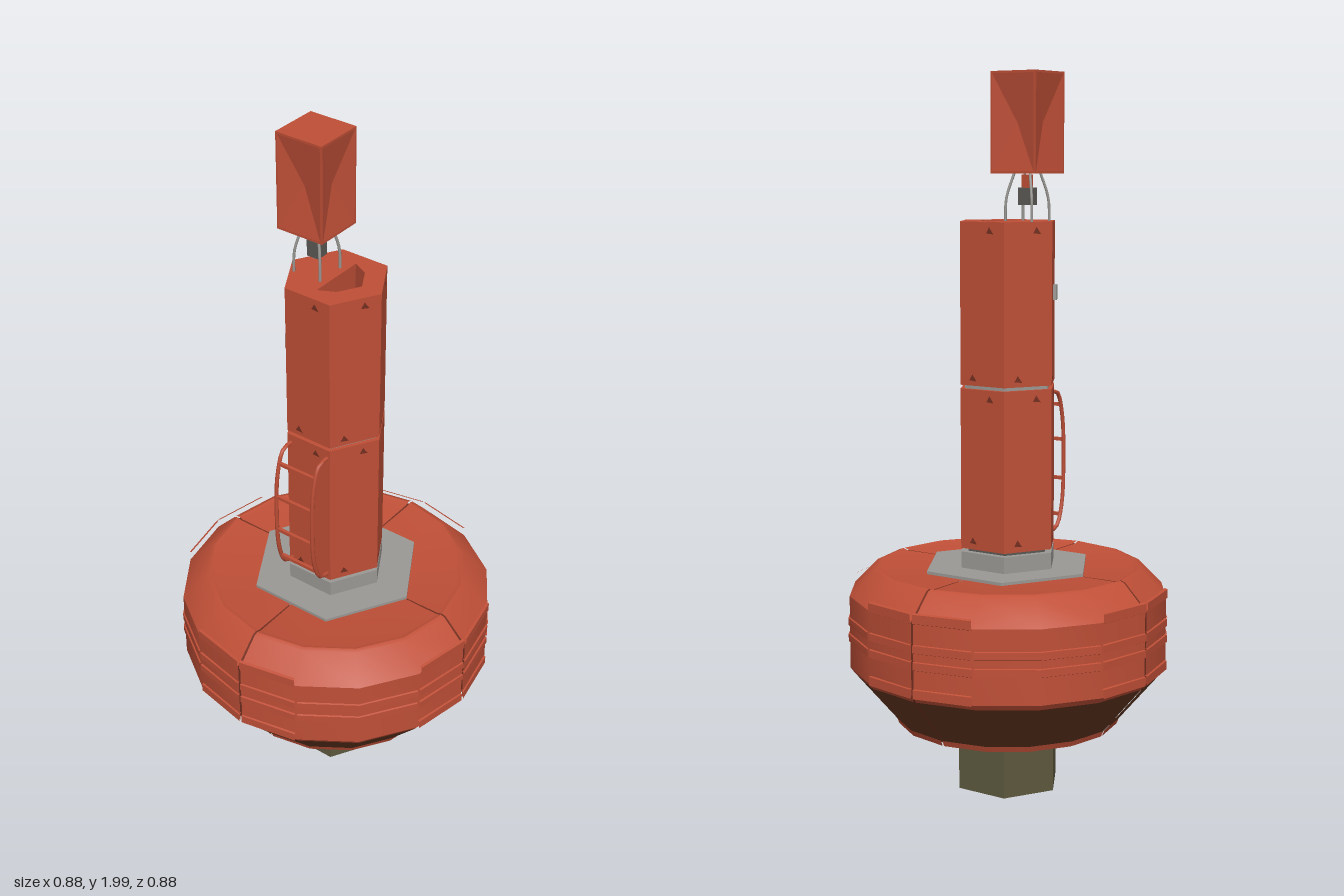
import * as THREE from 'three';
import { toCreasedNormals } from 'three/addons/utils/BufferGeometryUtils.js';

const V = (x, y, z) => new THREE.Vector3(x, y, z);
const mat = (name, color) => {
  const m = new THREE.MeshStandardMaterial({ color });
  m.name = name;
  return m;
};

export function createModel() {
  const red = mat('buoy red', 0xbf4f37);
  const darkRed = mat('recess red', 0x742f20);
  const brown = mat('waterline brown', 0x663820);
  const olive = mat('ballast olive', 0x5c583d);
  const grey = mat('steel grey', 0x9b9995);
  const darkGrey = mat('dark steel', 0x5b5955);

  const root = new THREE.Group();
  root.name = 'buoy';
  const add = (name, geo, m, parent = root) => {
    const mesh = new THREE.Mesh(geo, m);
    mesh.name = name;
    parent.add(mesh);
    return mesh;
  };
  const group = (name) => {
    const g = new THREE.Group();
    g.name = name;
    root.add(g);
    return g;
  };
  // Hexagonal prism with a corner towards the front
  const hex = (name, r, y0, y1, m, parent) => {
    const geo = toCreasedNormals(new THREE.CylinderGeometry(r, r, y1 - y0, 6), 0.3);
    add(name, geo, m, parent).position.y = (y0 + y1) / 2;
  };
  const lathe = (pts, seg, a, len) => toCreasedNormals(
    new THREE.LatheGeometry(pts.map(([x, y]) => new THREE.Vector2(x, y)), seg, a, len), 0.6);

  // Float: four quarters around a slightly smaller core, leaving narrow seams
  const float = group('float');
  const bottom = [[0.02, 0.24], [0.27, 0.24], [0.28, 0.232], [0.305, 0.234], [0.312, 0.25]];
  const belly = [[0.312, 0.25], [0.427, 0.385]];
  const upper = [[0.427, 0.385], [0.438, 0.4], [0.438, 0.6], [0.372, 0.668], [0.36, 0.672], [0.345, 0.667], [0.02, 0.667]];
  const Q = Math.PI / 2, S = Math.PI / 8, gap = 0.008;
  for (let i = 0; i < 4; i++) {
    const a = i * Q + gap, len = Q - 2 * gap;
    add('floatUnderside', lathe(bottom, 4, a, len), red, float);
    add('floatBelly', lathe(belly, 4, a, len), brown, float);
    add('floatShell', lathe(upper, 4, a, len), red, float);
  }
  const core = [...bottom, ...belly.slice(1), ...upper.slice(1)]
    .map(([x, y]) => [x * 0.98, 0.45 + (y - 0.45) * 0.97]);
  add('floatCore', lathe(core, 16, 0, Math.PI * 2), darkRed, float);

  // Raised fender strips around the float
  const strip = (y, h, a, n) => add('fenderStrip', lathe(
    [[0.435, y - h / 2], [0.442, y - h / 2 + 0.003], [0.442, y + h / 2 - 0.003], [0.435, y + h / 2]],
    n, a + gap, n * S - 2 * gap), red, float);
  for (let i = 0; i < 4; i++) {
    const a = i * Q;
    for (const y of [0.41, 0.61]) {
      strip(y, 0.03, a - S, 1);
      strip(y, 0.03, a, 1);
    }
    for (const y of [0.485, 0.53]) {
      strip(y, 0.026, a, 1);
      strip(y, 0.026, a + S, 2);
      strip(y, 0.026, a + 3 * S, 1);
    }
  }

  // Keel ballast and mooring eye
  hex('keelPlate', 0.235, 0.232, 0.25, olive);
  hex('ballast', 0.15, 0.05, 0.24, olive);
  add('mooringEye', new THREE.TorusGeometry(0.025, 0.006, 6, 6), darkGrey).position.y = 0.034;

  // Deck plate and mast base
  hex('deckPlate', 0.243, 0.655, 0.675, grey);
  hex('mastBase', 0.141, 0.67, 0.72, grey);
  hex('baseJoint', 0.12, 0.715, 0.735, darkGrey);

  // Mast: two hexagonal sections, the upper one open at the front of its top
  const mast = group('mast');
  hex('lowerMast', 0.141, 0.73, 1.166, red, mast);
  hex('mastJoint', 0.128, 1.16, 1.18, grey, mast);
  const outline = new THREE.Shape();
  for (let i = 0; i < 6; i++) {
    const a = i * Math.PI / 3;
    outline[i ? 'lineTo' : 'moveTo'](0.141 * Math.sin(a), 0.141 * Math.cos(a));
  }
  outline.closePath();
  outline.holes.push(new THREE.Path(
    [[-0.082, 0], [-0.06, -0.045], [0, -0.08], [0.06, -0.045], [0.082, 0]].map(([x, y]) => new THREE.Vector2(x, y))));
  const shell = new THREE.ExtrudeGeometry(outline, { depth: 0.434, bevelEnabled: false });
  shell.rotateX(-Math.PI / 2);
  add('upperMast', shell, red, mast).position.y = 1.176;
  hex('hatchFloor', 0.1, 1.2, 1.21, olive, mast);

  // Small triangular recesses on every mast face
  for (let i = 0; i < 6; i++) {
    const face = new THREE.Group();
    face.name = 'mastFaceMarks';
    face.rotation.y = Math.PI / 6 + i * Math.PI / 3;
    mast.add(face);
    for (const [u, y] of [[0.025, 1.585], [-0.03, 1.195], [0.025, 1.14], [-0.03, 0.752]]) {
      const tri = add('recessMark', new THREE.CircleGeometry(0.014, 3), darkRed, face);
      tri.position.set(u, y, 0.1231);
      tri.rotation.z = -Math.PI / 6;
      tri.scale.y = 0.8;
    }
  }

  // Fitting on the rear right face
  const fitting = add('mastFitting', new THREE.BoxGeometry(0.035, 0.04, 0.012), grey, mast);
  fitting.position.set(-0.063, 1.42, -0.109);
  fitting.rotation.y = Math.PI / 6;

  // Ladder on the right side
  const ladder = group('ladder');
  for (const z of [-0.06, 0.06]) {
    const path = new THREE.CatmullRomCurve3([
      V(-0.12, 1.14, z), V(-0.155, 1.135, z), V(-0.18, 1.07, z), V(-0.188, 0.945, z),
      V(-0.18, 0.82, z), V(-0.155, 0.76, z), V(-0.12, 0.75, z)]);
    add('ladderRail', new THREE.TubeGeometry(path, 24, 0.006, 6), red, ladder);
  }
  for (const [x, y] of [[-0.172, 1.1], [-0.187, 1.0], [-0.187, 0.89], [-0.172, 0.79]]) {
    add('ladderRung', new THREE.BoxGeometry(0.009, 0.009, 0.12), red, ladder).position.set(x, y, 0);
  }

  // Lantern legs and lamp
  const head = group('topmark');
  head.position.z = -0.062;
  for (const sx of [-1, 1]) for (const sz of [-1, 1]) {
    const leg = new THREE.CatmullRomCurve3([
      V(sx * 0.042, 1.6, sz * 0.042), V(sx * 0.04, 1.67, sz * 0.04), V(sx * 0.024, 1.74, sz * 0.024)]);
    add('topmarkLeg', new THREE.TubeGeometry(leg, 8, 0.004, 6), grey, head);
  }
  add('lamp', new THREE.BoxGeometry(0.036, 0.045, 0.036), darkGrey, head).position.y = 1.675;
  add('lampCap', new THREE.BoxGeometry(0.022, 0.035, 0.022), red, head).position.y = 1.715;

  // Radar reflector: flat ends and four sides with a framed inward pyramid
  const w = 0.07, h = 0.132, yc = 1.867;
  for (const s of [-1, 1]) {
    add('reflectorEnd', new THREE.BoxGeometry(2 * w, 0.006, 2 * w), red, head).position.y = yc + s * (h - 0.003);
  }
  const corners = (k) => [[-1, -1], [1, -1], [1, 1], [-1, 1]].map(([x, y]) => V(x * (w - k), y * (h - k), w));
  const outer = corners(0), inner = corners(0.005), apex = V(0, 0, w - 0.022), tris = [];
  for (let i = 0; i < 4; i++) {
    const j = (i + 1) % 4;
    tris.push(outer[i], outer[j], inner[j], outer[i], inner[j], inner[i], inner[i], inner[j], apex);
  }
  const side = new THREE.BufferGeometry().setFromPoints(tris);
  side.computeVertexNormals();
  for (let i = 0; i < 4; i++) {
    const m = add('reflectorSide', side, red, head);
    m.position.y = yc;
    m.rotation.y = i * Q;
  }
  return root;
}
